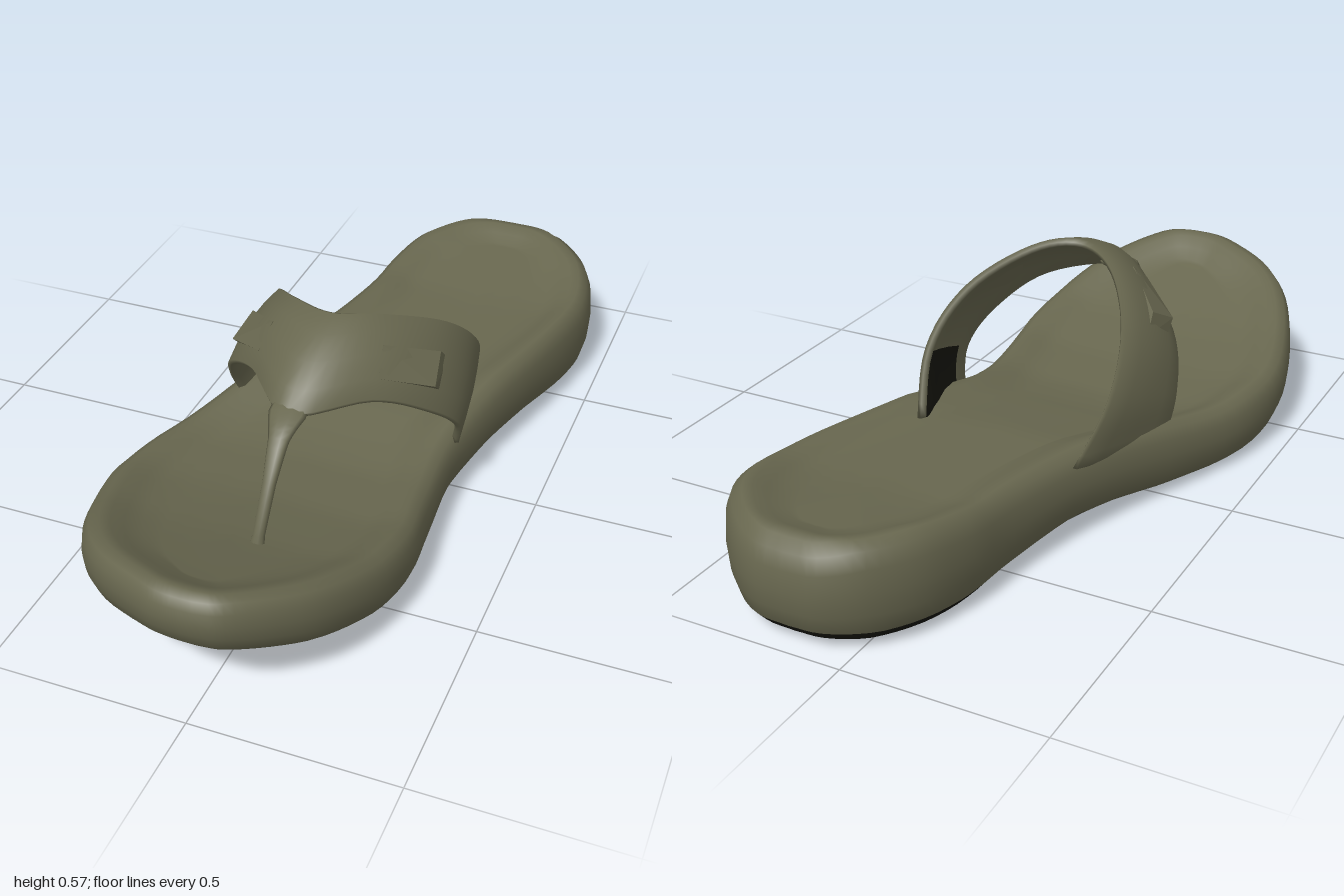
import * as THREE from 'three';
import { mergeVertices } from 'three/addons/utils/BufferGeometryUtils.js';
import { ConvexGeometry } from 'three/addons/geometries/ConvexGeometry.js';

const olive = new THREE.MeshStandardMaterial({ color: 0x68674f });
olive.name = 'olive rubber';
const dark = new THREE.MeshStandardMaterial({ color: 0x16160f });
dark.name = 'dark tread';

// Piecewise linear lookup in [[key, value], ...]
function lookup(table, k) {
  for (let i = 1; i < table.length; i++) {
    const [k0, v0] = table[i - 1], [k1, v1] = table[i];
    if (k <= k1) return v0 + (v1 - v0) * Math.max(0, (k - k0) / (k1 - k0));
  }
  return table[table.length - 1][1];
}

// Closed smooth surface from point(i, j); isDark(centre, i, j) picks the second material
function skin(name, nu, nv, point, isDark = () => false) {
  const pos = [], lists = [[], []];
  for (let i = 0; i <= nu; i++) for (let j = 0; j <= nv; j++) pos.push(point(i, j));
  let volume = 0;
  const add = (list, a, b, c) => {
    volume += pos[a].dot(new THREE.Vector3().crossVectors(pos[b], pos[c]));
    list.push([a, b, c]);
  };
  for (let i = 0; i < nu; i++) for (let j = 0; j < nv; j++) {
    const a = i * (nv + 1) + j, b = a + nv + 1;
    const centre = pos[a].clone().add(pos[b + 1]).multiplyScalar(0.5);
    const list = lists[isDark(centre, i, j) ? 1 : 0];
    add(list, a, b, b + 1);
    add(list, a, b + 1, a + 1);
  }
  // Wind every face outward
  if (volume < 0) lists.forEach(l => l.forEach(f => f.reverse()));
  let geo = new THREE.BufferGeometry().setFromPoints(pos);
  geo.setIndex([...lists[0].flat(), ...lists[1].flat()]);
  geo = mergeVertices(geo, 1e-4);
  geo.computeVertexNormals();
  geo.clearGroups();
  geo.addGroup(0, lists[0].length * 3, 0);
  geo.addGroup(lists[0].length * 3, lists[1].length * 3, 1);
  const mesh = new THREE.Mesh(geo, [olive, dark]);
  mesh.name = name;
  return mesh;
}

// Sole outline: z, right edge x, left edge x
const outline = [
  [-.998, .14, .14], [-.988, .055, .232], [-.93, -.035, .325], [-.82, -.11, .415],
  [-.68, -.15, .455], [-.53, -.17, .442], [-.32, -.22, .39], [-.1, -.3, .33],
  [.08, -.37, .297], [.28, -.437, .308], [.46, -.457, .325], [.63, -.42, .305],
  [.79, -.35, .25], [.9, -.25, .175], [.975, -.11, .095], [.994, -.05, .04], [.997, 0, 0],
];
const rimHeight = [[-1, .25], [-.93, .27], [-.8, .265], [-.6, .238], [-.4, .235], [-.2, .232], [0, .203],
  [.1, .185], [.2, .175], [.4, .19], [.6, .233], [.8, .298], [.95, .347], [1, .352]];
const baseHeight = [[-1, .03], [-.9, .015], [-.7, .01], [-.5, .02], [-.3, .04], [-.15, .036], [0, .018],
  [.2, .005], [.3, .006], [.4, .02], [.6, .063], [.8, .128], [.95, .19], [1, .215]];
const middle = outline.map(([z, a, b]) => [z, (a + b) / 2]);

// Edge profile: inset from outline, fraction toward spine, height fraction, dip
const profile = [
  [0, 1, 1, -.032], [0, .75, 1, -.032], [0, .5, 1, -.031], [.14, 0, 1, -.028], [.1, 0, 1, -.016],
  [.07, 0, 1, -.002], [.045, 0, 1, 0], [.02, 0, .93, 0], [.005, 0, .78, 0], [0, 0, .55, 0],
  [.004, 0, .33, 0], [.018, 0, .13, 0], [.04, 0, .03, 0], [.065, 0, 0, 0], [.14, 0, 0, 0],
  ...[.5, .6, .7, .8, .9, 1].map(f => [0, f, 0, 0]),
];

// The dark tread wraps a little higher around the heel
function makeSole() {
  const edge = col => new THREE.CatmullRomCurve3(
    outline.map(o => new THREE.Vector3(o[col], 0, o[0])), false, 'catmullrom', 0.5);
  const right = edge(1), left = edge(2), half = 64;
  return skin('sole', half * 2, profile.length - 1, (i, j) => {
    const p = i <= half ? right.getPoint(i / half) : left.getPoint(2 - i / half);
    const [inset, frac, height, dip] = profile[j];
    const zc = p.z * 0.7;
    const spine = new THREE.Vector3(lookup(middle, zc), 0, zc);
    p.lerp(spine, frac || inset / p.distanceTo(spine));
    const lo = lookup(baseHeight, p.z), hi = lookup(rimHeight, p.z);
    p.y = lo + (hi - lo) * height + dip;
    return p;
  }, (c, i, j) => j >= (c.z < -.25 ? 11 : 12));
}

// Worn pale patches on the tread: z from, z to, x at each end, half width at each end
const patches = [
  [.75, .915, -.08, -.06, .115, .1], [.44, .66, -.12, -.12, .05, .085], [.2, .4, -.06, -.1, .025, .035],
  [-.06, .07, .0, -.03, .035, .035], [-.48, -.36, .13, .1, .035, .035],
  [-.64, -.54, .15, .14, .05, .045], [-.9, -.72, .14, .15, .09, .06],
];

function makePatch([z0, z1, x0, x1, w0, w1]) {
  const n = 10, section = [[-1, -.004], [1, -.004], [1, .003], [-1, .003], [-1, -.004]];
  return skin('treadPatch', n, 4, (i, j) => {
    const t = i / n, z = z0 + (z1 - z0) * t, [sx, dy] = section[j];
    const x = x0 + (x1 - x0) * t + sx * (w0 + (w1 - w0) * t);
    return new THREE.Vector3(x, lookup(baseHeight, z) + dy, z);
  });
}

// Strap edges from the right base over the arch to the left base
const curve = pts => new THREE.CatmullRomCurve3(
  pts.map(a => new THREE.Vector3(...a)), false, 'catmullrom', 0.5);
const frontEdge = curve([
  [-.3, .15, .02], [-.3, .25, .08], [-.26, .35, .16], [-.15, .425, .27], [0, .43, .42],
  [.16, .425, .29], [.26, .35, .18], [.305, .26, .09], [.285, .15, .03]]);
const backEdge = curve([
  [-.205, .18, -.34], [-.243, .33, -.2], [-.21, .458, -.05], [-.11, .543, .1], [.01, .568, .17],
  [.12, .553, .11], [.23, .475, -.03], [.272, .35, -.16], [.23, .18, -.285]]);
const hub = new THREE.Vector3(0, .2, -.05);

// Point on the strap: u along the arch, v front to back, lift outward
function strapPoint(u, v, lift) {
  const p = frontEdge.getPoint(u).lerp(backEdge.getPoint(u), v);
  const out = p.clone().sub(hub).normalize();
  return p.addScaledVector(out, lift + .024 * Math.sin(Math.PI * v) * Math.sin(Math.PI * u));
}

// Strap with a dark lining at the foot of its inner face
function makeStrap() {
  const nu = 48, loop = [[0, 0], [.03, .011], [.25, .011], [.5, .011], [.75, .011], [.97, .011],
    [1, 0], [.97, -.011], [.75, -.011], [.5, -.011], [.25, -.011], [.03, -.011], [0, 0]];
  return skin('strap', nu, loop.length - 1, (i, j) =>
    i === 0 || i === nu ? strapPoint(i / nu, .5, 0) : strapPoint(i / nu, ...loop[j]),
  (c, i, j) => j >= 7 && j <= 9 && (i < 5 || i > 41));
}

// Raised folded tab on each side of the strap
function makeTab(name, u0, u1) {
  const pts = [];
  for (const [v, k] of [[.25, 1], [.6, .7]]) {
    pts.push(strapPoint(u0, v, 0), strapPoint(u1, v, 0), strapPoint((u0 + u1) / 2, v, 0));
    pts.push(strapPoint(u0 * .75 + u1 * .25, v, .032 * k), strapPoint(u1, v, .012));
  }
  const mesh = new THREE.Mesh(new ConvexGeometry(pts), olive);
  mesh.name = name;
  return mesh;
}

// Tapered toe post flowing out of the strap
function makeToePost() {
  const path = curve([[0, .45, .35], [0, .433, .42], [.005, .405, .48], [.008, .33, .545], [.005, .24, .595], [0, .17, .62]]);
  const width = [[0, .045], [.2, .046], [.4, .026], [.6, .017], [.85, .015], [1, .022]];
  const nu = 20, nv = 10;
  return skin('toePost', nu, nv, (i, j) => {
    const t = i / nu, a = j / nv * Math.PI * 2, p = path.getPoint(t);
    if (i === 0 || i === nu) return p;
    const d = path.getTangent(t), side = new THREE.Vector3(1, 0, 0);
    const up = new THREE.Vector3().crossVectors(d, side).normalize();
    return p.addScaledVector(side, Math.cos(a) * lookup(width, t)).addScaledVector(up, Math.sin(a) * .014);
  });
}

export function createModel() {
  const group = new THREE.Group();
  group.name = 'sandal';
  group.add(makeSole(), ...patches.map(makePatch), makeStrap(), makeToePost(),
    makeTab('rightTab', .24, .38), makeTab('leftTab', .77, .63));
  return group;
}
